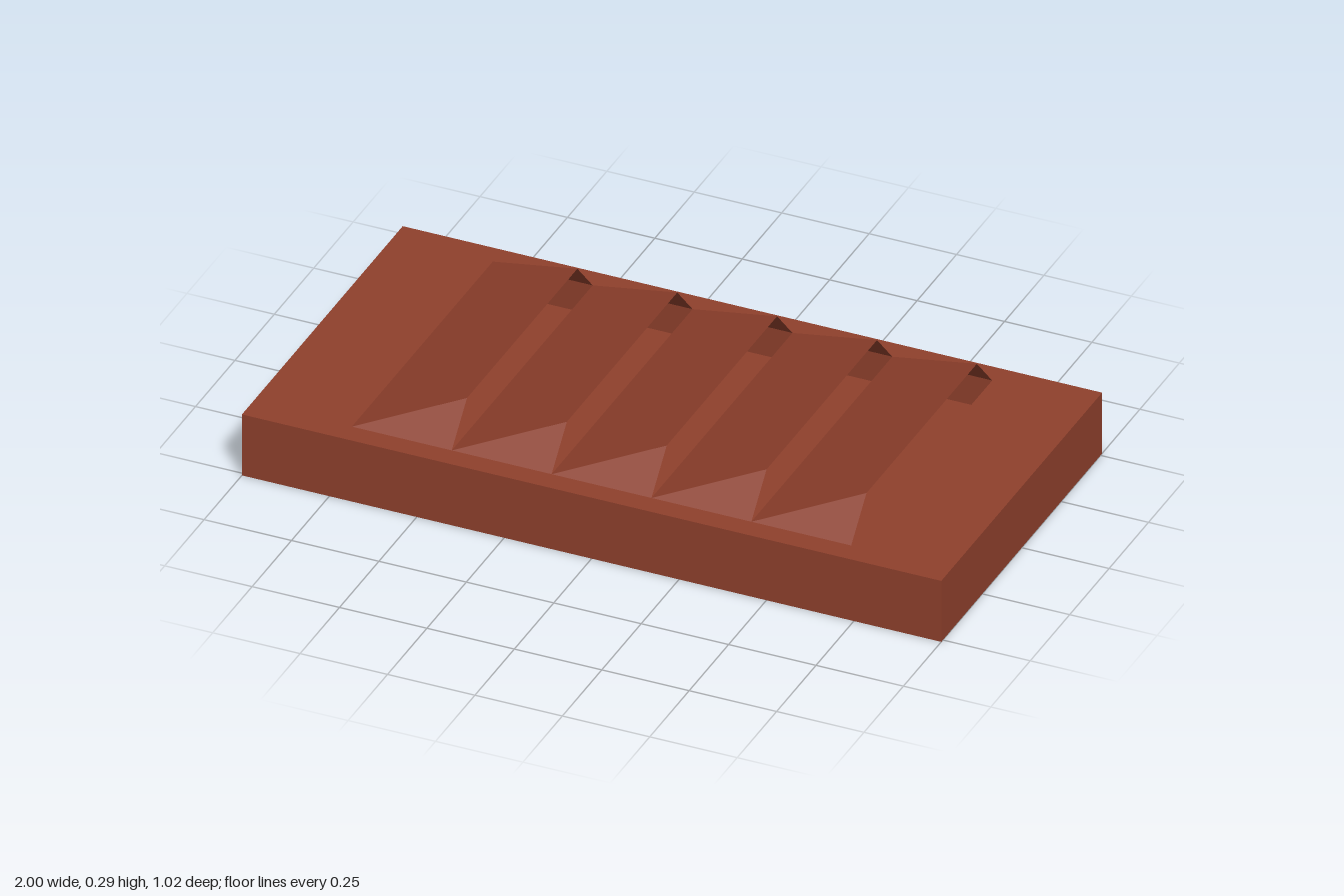
import * as THREE from 'three';

const WIDTH = 2, DEPTH = 1.02, TOP = 0.187;
const RECESS = 0.09;               // depth of the pocket below the louvers
const HALF_X = 0.714, HALF_Z = 0.447;
const RIDGE_Y = 0.293, RIDGE_Z = 0.35;
const COUNT = 5;

const rectangle = (Type, hx, hz) => new Type([
  new THREE.Vector2(-hx, -hz), new THREE.Vector2(hx, -hz),
  new THREE.Vector2(hx, hz), new THREE.Vector2(-hx, hz),
]);

// One hood: a sloped top and two leaning triangular ends, open towards +x
function louverGeometry(length) {
  const lowFront = [0, 0, HALF_Z], lowBack = [0, 0, -HALF_Z];
  const endFront = [length, 0, HALF_Z], endBack = [length, 0, -HALF_Z];
  const ridgeFront = [length, RIDGE_Y - TOP, RIDGE_Z];
  const ridgeBack = [length, RIDGE_Y - TOP, -RIDGE_Z];
  const triangles = [
    lowFront, ridgeFront, ridgeBack,
    lowFront, ridgeBack, lowBack,
    lowFront, endFront, ridgeFront,
    lowBack, ridgeBack, endBack,
  ];
  const geometry = new THREE.BufferGeometry();
  geometry.setAttribute('position', new THREE.Float32BufferAttribute(triangles.flat(), 3));
  geometry.computeVertexNormals();
  return geometry;
}

export function createModel() {
  const model = new THREE.Group();
  model.name = 'louveredVent';
  const solid = new THREE.MeshStandardMaterial({ color: 0x8f402c });
  const sheet = new THREE.MeshStandardMaterial({ color: 0x8f402c, side: THREE.DoubleSide });

  // Bottom of the slab, which is also the floor of the pocket
  const baseHeight = TOP - RECESS;
  const base = new THREE.Mesh(new THREE.BoxGeometry(WIDTH, baseHeight, DEPTH), solid);
  base.name = 'slabBase';
  base.position.y = baseHeight / 2;
  model.add(base);

  // Upper part of the slab, surrounding the pocket
  const outline = rectangle(THREE.Shape, WIDTH / 2, DEPTH / 2);
  outline.holes.push(rectangle(THREE.Path, HALF_X, HALF_Z));
  const frameGeometry = new THREE.ExtrudeGeometry(outline, { depth: RECESS, bevelEnabled: false });
  frameGeometry.rotateX(-Math.PI / 2);
  const frame = new THREE.Mesh(frameGeometry, solid);
  frame.name = 'slabFrame';
  frame.position.y = baseHeight;
  model.add(frame);

  // Row of louvers
  const louvers = new THREE.Group();
  louvers.name = 'louvers';
  const pitch = (2 * HALF_X) / COUNT;
  const geometry = louverGeometry(pitch);
  for (let i = 0; i < COUNT; i++) {
    const louver = new THREE.Mesh(geometry, sheet);
    louver.name = `louver${i + 1}`;
    louver.position.set(-HALF_X + i * pitch, TOP, 0);
    louvers.add(louver);
  }
  model.add(louvers);

  return model;
}
